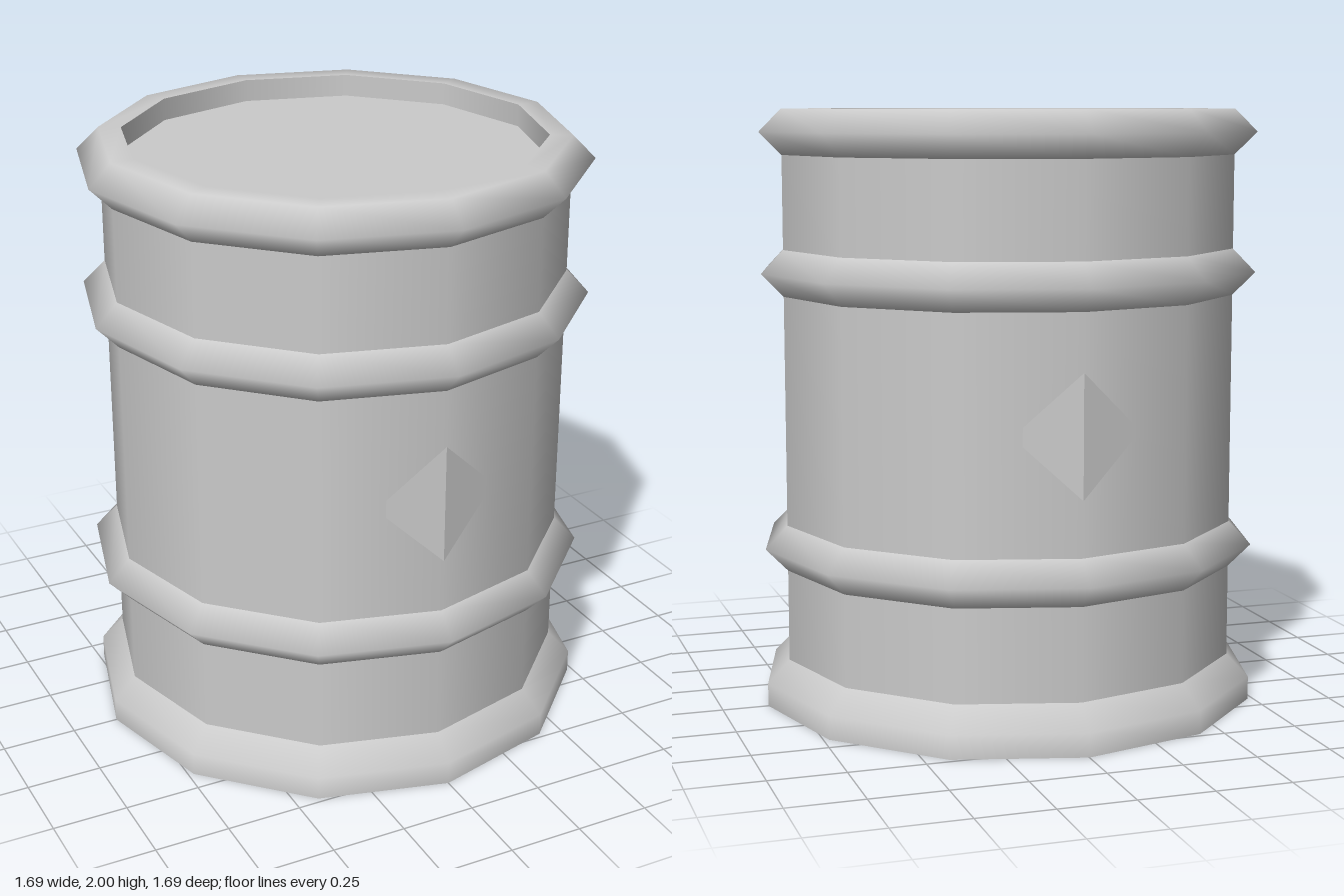
import * as THREE from 'three';
import { ConvexGeometry } from 'three/addons/geometries/ConvexGeometry.js';

const SIDES = 12;
const WALL = 0.77;   // radius of the wall
const RIB = 0.845;   // radius of the hoops
const LID = 0.695;   // radius of the recessed lid

export function createModel() {
  const barrel = new THREE.Group();
  barrel.name = 'barrel';
  const smooth = new THREE.MeshStandardMaterial({ color: 0xcccccc });
  const flat = new THREE.MeshStandardMaterial({ color: 0xcccccc, flatShading: true });

  const add = (name, geometry, material = smooth) => {
    const mesh = new THREE.Mesh(geometry, material);
    mesh.name = name;
    barrel.add(mesh);
    return mesh;
  };
  // Profile is listed as [radius, height], bottom to top for outward faces
  const turned = (profile) =>
    new THREE.LatheGeometry(profile.map(([r, y]) => new THREE.Vector2(r, y)), SIDES);

  // Wall
  add('wall', turned([[WALL, 0.1], [WALL, 1.9]]));

  // Bottom and top rims
  add('bottomRim', turned([[RIB, 0], [RIB, 0.078], [WALL, 0.155]]));
  add('topRim', turned([[WALL, 1.85], [RIB, 1.925], [WALL, 2], [LID, 2]]));

  // Middle hoops
  [['lowerHoop', 0.54], ['upperHoop', 1.463]].forEach(([name, y]) =>
    add(name, turned([[WALL, y - 0.077], [RIB, y], [WALL, y + 0.077]])));

  // Recessed lid with its inner wall, and the base
  add('rimInside', turned([[LID, 2], [LID, 1.925]]));
  add('lid', new THREE.CircleGeometry(LID, SIDES).rotateX(-Math.PI / 2)).position.y = 1.925;
  add('base', new THREE.CircleGeometry(RIB, SIDES).rotateX(Math.PI / 2));

  // Diamond plates folded over the front and back corners of the wall
  const corners = [new THREE.Vector3(0, 0.2, 0.778), new THREE.Vector3(0, -0.2, 0.778)];
  for (const sx of [-1, 1]) {
    for (const sy of [-1, 1]) corners.push(new THREE.Vector3(sx * 0.18, sy * 0.03, 0.723));
  }
  const plate = new ConvexGeometry(corners);
  ['frontPlate', 'backPlate'].forEach((name, i) => {
    const mesh = add(name, plate, flat);
    mesh.position.y = 1;
    mesh.rotation.y = i * Math.PI;
  });

  return barrel;
}
